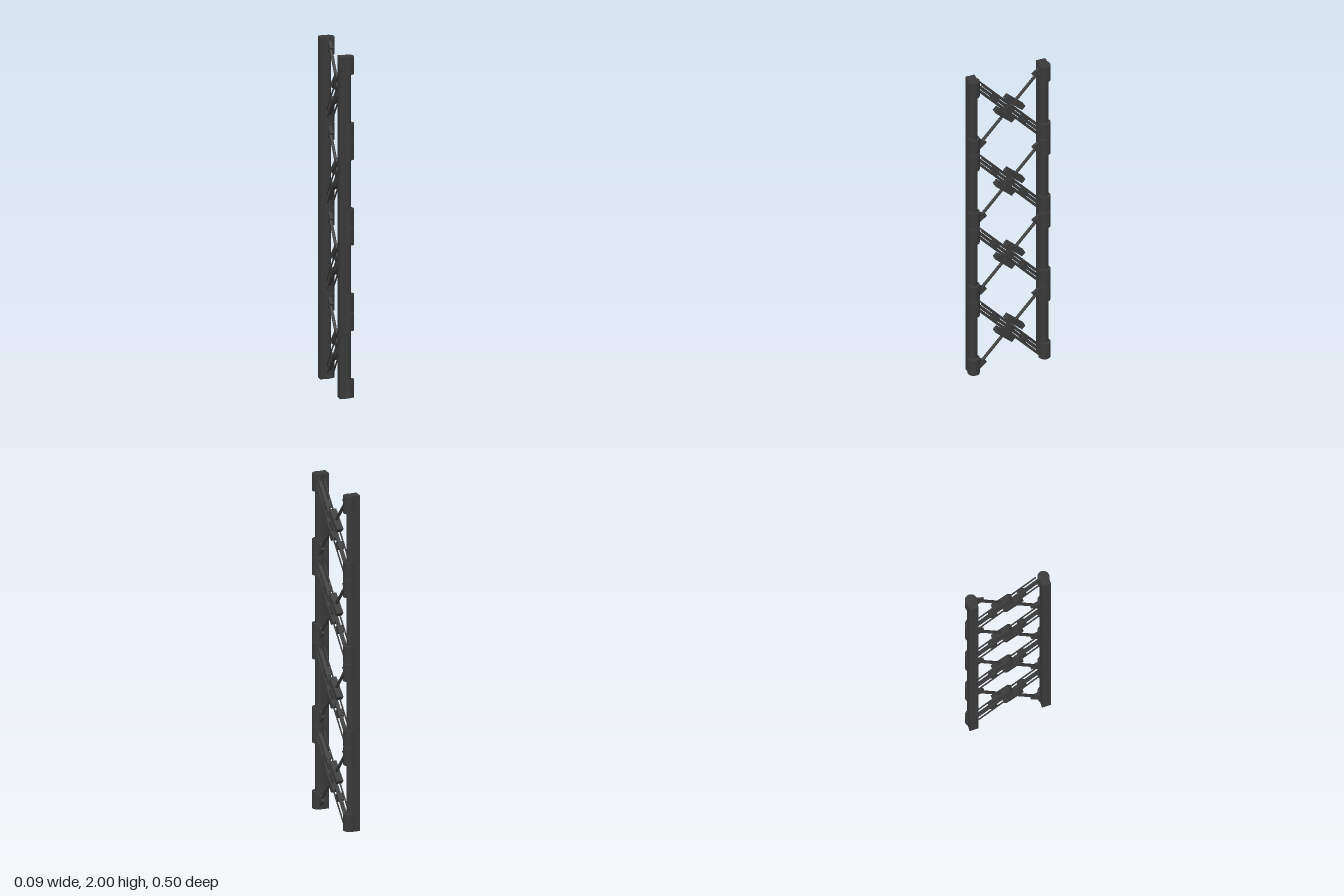
import * as THREE from 'three';

const BAYS = 4, BAY = 0.5, POST_Z = 0.216, AXIS_X = 0.01;

export function createModel() {
  const model = new THREE.Group();
  const mat = new THREE.MeshStandardMaterial({ color: 0x3a3a3a });

  const add = (parent, name, geo, x = 0, y = 0, z = 0) => {
    const m = new THREE.Mesh(geo, mat);
    m.name = name;
    m.position.set(x, y, z);
    parent.add(m);
    return m;
  };

  // Post profile: flat on the -x side, slightly tapered, round on the +x side
  const profile = new THREE.Shape();
  profile.moveTo(-0.0445, -0.0275);
  profile.lineTo(0, -0.0255);
  profile.absarc(0, 0, 0.0255, -Math.PI / 2, Math.PI / 2, false);
  profile.lineTo(-0.0445, 0.0275);
  profile.closePath();
  const postGeo = new THREE.ExtrudeGeometry(profile, { depth: BAYS * BAY, bevelEnabled: false, curveSegments: 16 });
  postGeo.rotateX(-Math.PI / 2);

  // Gusset: small triangle pointing along +z from the collar
  const tri = new THREE.Shape([[-0.01, -0.038], [0.04, 0.003], [-0.01, 0.038]].map(p => new THREE.Vector2(...p)));
  const gussetGeo = new THREE.ExtrudeGeometry(tri, { depth: 0.02, bevelEnabled: false });
  gussetGeo.translate(0, 0, -0.01).rotateY(-Math.PI / 2);

  const collarGeo = new THREE.CylinderGeometry(0.0345, 0.0345, 0.102, 32);
  const rodGeo = new THREE.CylinderGeometry(0.009, 0.009, 0.55, 12);
  const plateGeo = new THREE.BoxGeometry(0.04, 0.03, 0.135);
  const railGeo = new THREE.BoxGeometry(0.006, 0.56, 0.008);
  const coreGeo = new THREE.BoxGeometry(0.018, 0.56, 0.014);
  const spacerGeo = new THREE.BoxGeometry(0.036, 0.042, 0.026);
  const hubGeo = new THREE.BoxGeometry(0.03, 0.05, 0.044);

  // Two posts
  for (const s of [-1, 1]) add(model, s > 0 ? 'frontPost' : 'backPost', postGeo, 0, 0, s * POST_Z);

  for (let i = 0; i < BAYS; i++) {
    const bay = new THREE.Group();
    bay.name = 'bay' + (i + 1);
    bay.position.set(AXIS_X, i * BAY, 0);
    model.add(bay);

    // Collars at both ends of each post segment
    for (const s of [-1, 1])
      for (const y of [0.055, 0.447]) add(bay, 'collar', collarGeo, 0, y, s * POST_Z);

    // Thin diagonal rod with a clamp plate on each side of the rails
    const brace = new THREE.Group();
    brace.name = 'rodBrace';
    brace.position.y = 0.257;
    brace.rotation.x = -Math.atan2(0.18, 0.2);
    bay.add(brace);
    add(brace, 'rod', rodGeo);
    for (const s of [-1, 1]) add(brace, 'clampPlate', plateGeo, 0, s * 0.047, 0);
    add(bay, 'upperGusset', gussetGeo, 0, 0.448, -0.179).rotation.y = 0;
    add(bay, 'lowerGusset', gussetGeo, 0, 0.06, 0.179).rotation.y = Math.PI;

    // Opposite diagonal: four corner rails, a core bar, spacers and a hub
    const truss = new THREE.Group();
    truss.name = 'railBrace';
    truss.position.y = 0.254;
    truss.rotation.x = Math.atan2(0.19, 0.205);
    bay.add(truss);
    for (const sx of [-1, 1])
      for (const sz of [-1, 1]) add(truss, 'rail', railGeo, sx * 0.017, 0, sz * 0.02);
    add(truss, 'coreBar', coreGeo);
    add(truss, 'hub', hubGeo);
    for (const s of [-1, 1]) add(truss, 'spacer', spacerGeo, 0, s * 0.128, 0);
  }
  return model;
}
